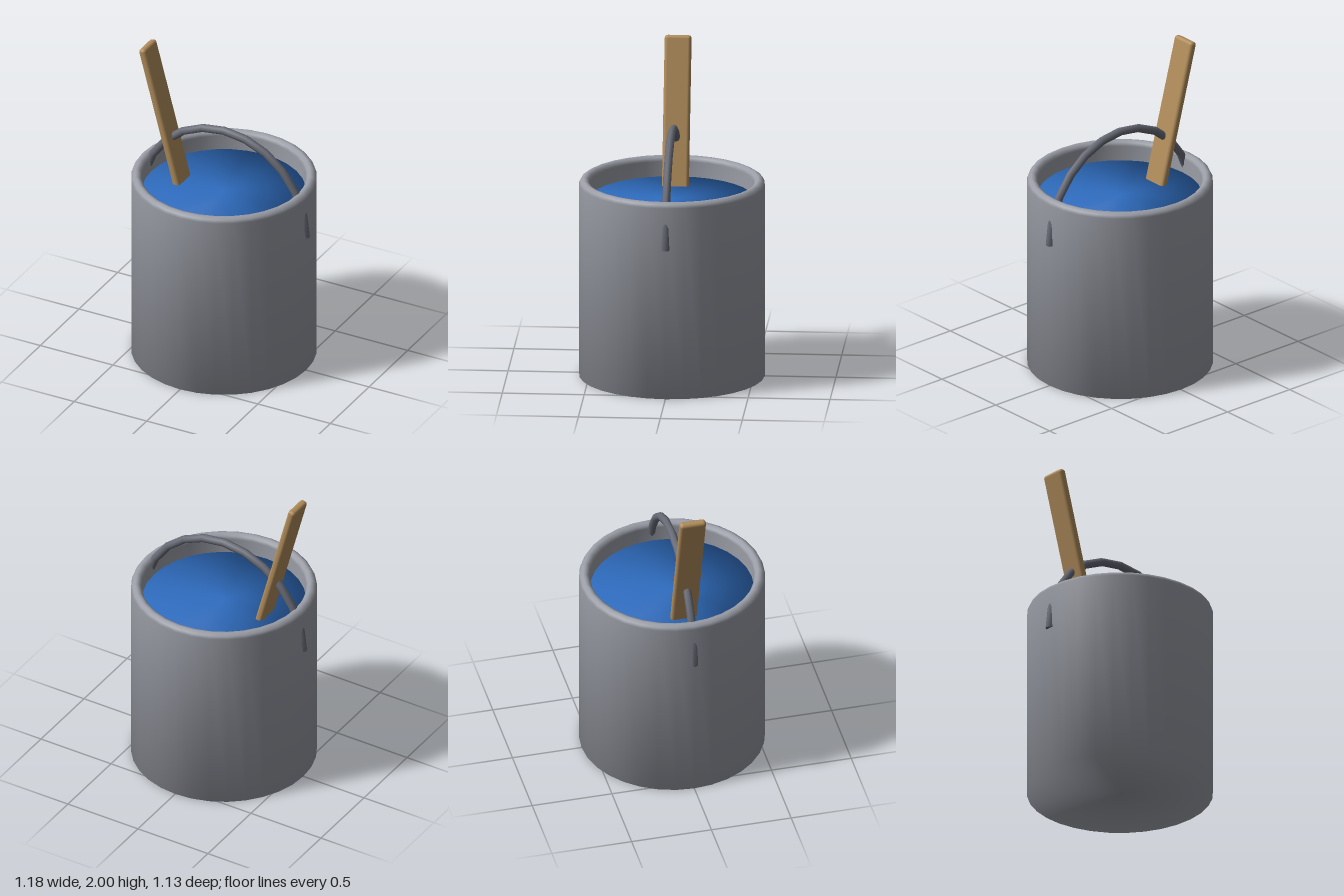
import * as THREE from 'three';
import { RoundedBoxGeometry } from 'three/addons/geometries/RoundedBoxGeometry.js';

const SIDES = 32;
const metal = new THREE.MeshStandardMaterial({ color: 0x9a9da6 });
const darkMetal = new THREE.MeshStandardMaterial({ color: 0x686b76 });
const blue = new THREE.MeshStandardMaterial({ color: 0x2f6dc0 });
const wood = new THREE.MeshStandardMaterial({ color: 0xb08c5a });

function part(name, geometry, material, parent) {
  const mesh = new THREE.Mesh(geometry, material);
  mesh.name = name;
  parent.add(mesh);
  return mesh;
}

// Turned shape from [radius, height] pairs
function turned(profile) {
  return new THREE.LatheGeometry(profile.map(([r, y]) => new THREE.Vector2(r, y)), SIDES);
}

export function createModel() {
  const model = new THREE.Group();
  model.name = 'paintBucket';

  // Bucket: closed base, straight wall, rounded rim and inner wall
  part('bucket', turned([
    [0, 0], [0.567, 0], [0.567, 1.205], [0.558, 1.224], [0.54, 1.235],
    [0.525, 1.235], [0.508, 1.224], [0.5, 1.205], [0.5, 0.06], [0, 0.06],
  ]), metal, model);

  // Paint filling the bucket to just under the rim
  part('paint', turned([[0.505, 0.1], [0.505, 1.11], [0, 1.11]]), blue, model);

  // Handle: half hoop whose ends show outside the wall
  const handle = new THREE.Group();
  handle.name = 'handle';
  const hoopRadius = 0.565, wire = 0.025, pivotY = 0.94;
  const hoop = part('handleHoop', new THREE.TorusGeometry(hoopRadius, wire, 8, 12, Math.PI), darkMetal, handle);
  hoop.scale.y = 1.045;
  for (const side of [1, -1]) {
    const cap = part('handleEnd', new THREE.CircleGeometry(wire, 8), darkMetal, handle);
    cap.rotation.x = Math.PI / 2;
    cap.position.x = side * hoopRadius;
  }
  handle.position.y = pivotY;
  model.add(handle);

  // Stirring stick leaning to one side, its lower end in the paint
  const length = 1.2, lean = THREE.MathUtils.degToRad(15);
  const stick = part('stirStick', new RoundedBoxGeometry(0.048, length, 0.164, 3, 0.02), wood, model);
  stick.rotation.z = lean;
  stick.position.set(
    -0.53 + Math.sin(lean) * length / 2,
    1.995 - Math.cos(lean) * length / 2,
    0,
  );

  return model;
}
